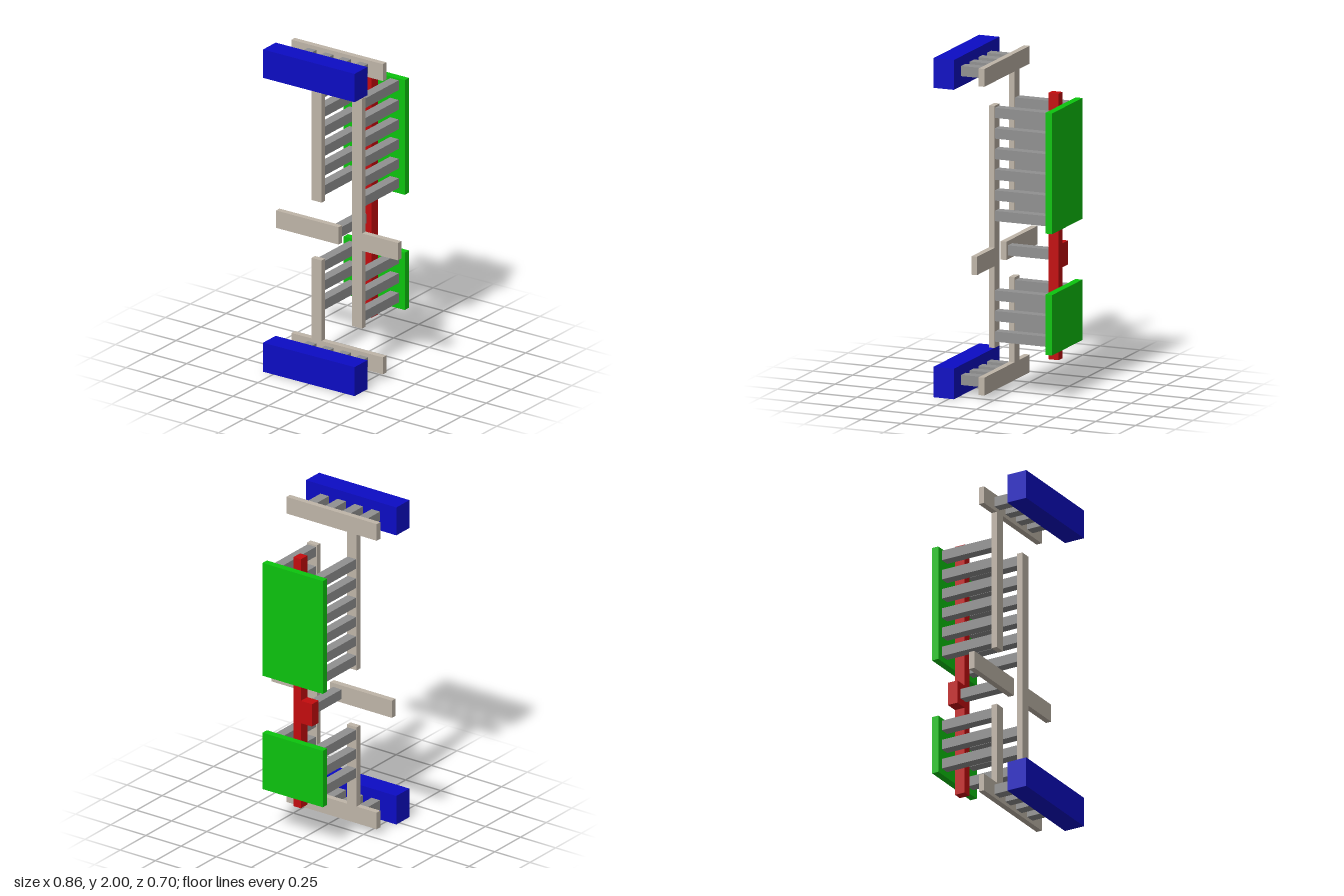
import * as THREE from 'three';

const mat = (name, color) => {
  const m = new THREE.MeshStandardMaterial({ color });
  m.name = name;
  return m;
};

export function createModel() {
  const root = new THREE.Group();
  root.name = 'layeredCircuitCell';
  const blue = mat('blue', 0x0c0cc4);
  const green = mat('green', 0x0cc40e);
  const red = mat('red', 0xc40c0e);
  const grey = mat('grey', 0x909090);
  const beige = mat('beige', 0xbfb5a8);

  // Box given by its extents on each axis
  const slab = (name, material, [x0, x1], [y0, y1], [z0, z1]) => {
    const mesh = new THREE.Mesh(new THREE.BoxGeometry(x1 - x0, y1 - y0, z1 - z0), material);
    mesh.position.set((x0 + x1) / 2, (y0 + y1) / 2, (z0 + z1) / 2);
    mesh.name = name;
    root.add(mesh);
  };
  // Square contact post along z
  const post = (name, x, y, z) =>
    slab(name, grey, [x - 0.03, x + 0.03], [y - 0.03, y + 0.03], z);

  // Layer depths
  const backZ = [-0.348, -0.306];
  const gateZ = [-0.306, -0.242];
  const metalZ = [0.03, 0.065];
  const frontZ = [0.221, 0.348];

  // Back plates
  slab('upperBackPlate', green, [-0.214, 0.214], [1.004, 1.716], backZ);
  slab('lowerBackPlate', green, [-0.214, 0.214], [0.289, 0.645], backZ);

  // Gate bar with side tab
  slab('gateBar', red, [-0.027, 0.025], [0.217, 1.788], gateZ);
  slab('gateTab', red, [-0.107, -0.027], [0.754, 0.895], gateZ);

  // Metal strips
  slab('upperRail', beige, [-0.321, 0.321], [1.86, 1.965], metalZ);
  slab('lowerRail', beige, [-0.321, 0.321], [0.04, 0.145], metalZ);
  slab('upperRailStem', beige, [-0.179, -0.109], [1.004, 1.86], metalZ);
  slab('lowerRailStem', beige, [-0.179, -0.109], [0.145, 0.645], metalZ);
  slab('outputStrip', beige, [0.105, 0.175], [0.289, 1.716], metalZ);
  slab('outputArm', beige, [0.175, 0.426], [0.772, 0.88], metalZ);
  slab('inputArm', beige, [-0.429, 0.01], [0.772, 0.88], metalZ);

  // Contact posts between the metal strips and the back plates
  const rows = [1.675, 1.553, 1.432, 1.31, 1.188, 1.067, 0.598, 0.477, 0.356];
  for (const y of rows)
    for (const x of [-0.144, 0.142]) post('backContact', x, y, [-0.306, 0.03]);
  post('gateContact', -0.041, 0.825, [-0.242, 0.03]);

  // Front power bars, each carried by four posts
  slab('upperFrontBar', blue, [-0.321, 0.321], [1.824, 2], frontZ);
  slab('lowerFrontBar', blue, [-0.321, 0.321], [0, 0.18], frontZ);
  for (const y of [1.913, 0.092])
    for (let i = 0; i < 4; i++) post('frontContact', -0.175 + i * 0.121, y, [0.065, 0.221]);

  return root;
}
